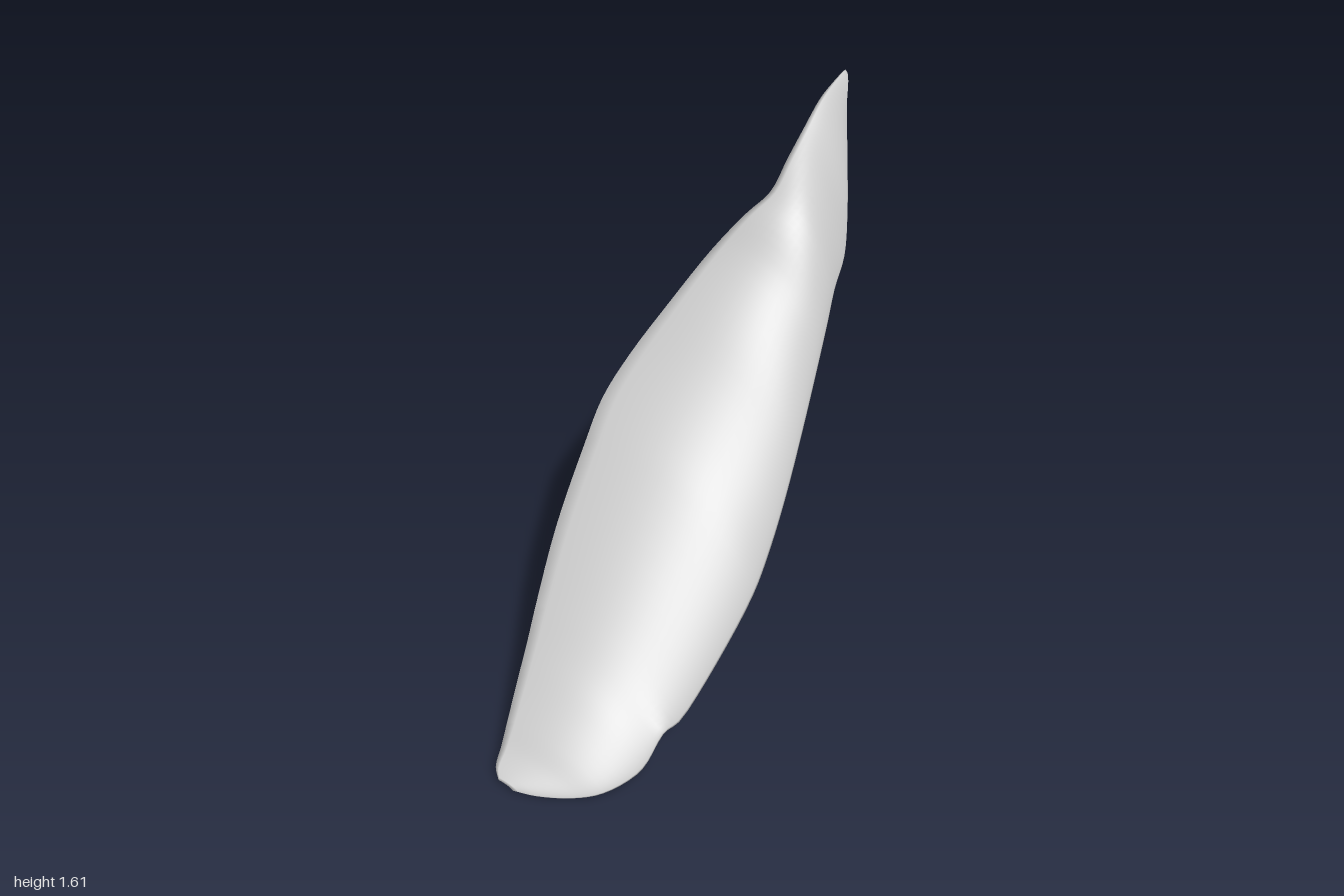
import * as THREE from 'three';

const { lerp, smoothstep } = THREE.MathUtils;

// Edge stations from base to tip: z, left x, right x, left y, right y
const STATIONS = [
  [1.0, -0.075, -0.02, 0.04, 0.026],
  [0.975, -0.105, 0.05, 0.058, 0.022],
  [0.92, -0.125, 0.15, 0.09, 0.024],
  [0.86, -0.145, 0.22, 0.14, 0.034],
  [0.76, -0.18, 0.275, 0.215, 0.06],
  [0.67, -0.21, 0.292, 0.285, 0.1],
  [0.58, -0.24, 0.308, 0.365, 0.145],
  [0.4, -0.29, 0.326, 0.535, 0.265],
  [0.2, -0.32, 0.332, 0.725, 0.41],
  [0.08, -0.332, 0.316, 0.835, 0.505],
  [-0.04, -0.308, 0.295, 0.945, 0.625],
  [-0.18, -0.255, 0.265, 1.08, 0.785],
  [-0.34, -0.19, 0.222, 1.23, 0.945],
  [-0.43, -0.12, 0.198, 1.34, 1.045],
  [-0.5, -0.075, 0.178, 1.4, 1.125],
  [-0.6, -0.075, 0.152, 1.475, 1.19],
  [-0.7, -0.08, 0.1, 1.535, 1.285],
  [-0.82, -0.09, 0.022, 1.595, 1.425],
  [-0.92, -0.095, -0.045, 1.62, 1.54],
  [-0.975, -0.098, -0.075, 1.628, 1.6],
  [-0.995, -0.1, -0.09, 1.628, 1.618],
];
const THICKNESS = 0.028;
const ACROSS = 20;
const ALONG = 80;

const edge = (xi, yi) => new THREE.CatmullRomCurve3(
  STATIONS.map((s) => new THREE.Vector3(s[xi], s[yi], s[0])), false, 'centripetal');
const leftEdge = edge(1, 3);
const rightEdge = edge(2, 4);

// Outer surface: crowned on the left, rolling steeply down to the right edge
function surface(t, v) {
  const a = leftEdge.getPoint(v);
  const b = rightEdge.getPoint(v);
  const p = a.clone().lerp(b, t);
  // the narrow tip is flatter than the body
  const tip = smoothstep(-p.z, 0.35, 0.75);
  const roll = Math.pow(1 - Math.pow(t, lerp(2.5, 1.4, tip)), lerp(0.72, 0.92, tip));
  p.y = b.y + (a.y - b.y) * roll;
  p.y += 0.026 * Math.sin(Math.PI * t) * (1 - tip) * smoothstep(-p.z, -1, -0.7);
  // small nick in the right edge near the base
  p.y += 0.04 * Math.pow(t, 12) * Math.exp(-(((p.z - 0.645) / 0.05) ** 2));
  return p;
}

function surfaceNormal(t, v) {
  const e = 0.012;
  const du = surface(Math.min(1, t + e), v).sub(surface(Math.max(0, t - e), v));
  const dv = surface(t, Math.min(1, v + e)).sub(surface(t, Math.max(0, v - e)));
  return du.cross(dv).normalize();
}

// Closed thin shell made of looped cross-sections
function shellGeometry() {
  const positions = [];
  const index = [];
  const ring = 2 * (ACROSS + 1);
  for (let k = 0; k <= ALONG; k++) {
    const v = k / ALONG;
    const under = [];
    for (let i = 0; i <= ACROSS; i++) {
      const t = Math.sin((i / ACROSS) * Math.PI / 2);
      const p = surface(t, v);
      positions.push(p.x, p.y, p.z);
      under.unshift(p.addScaledVector(surfaceNormal(t, v), -THICKNESS));
    }
    under.forEach((p) => positions.push(p.x, p.y, p.z));
  }
  for (let k = 0; k < ALONG; k++) {
    for (let j = 0; j < ring; j++) {
      const a = k * ring + j;
      const b = k * ring + ((j + 1) % ring);
      index.push(a, b, b + ring, a, b + ring, a + ring);
    }
  }
  // base and tip rims
  const last = ALONG * ring;
  for (let i = 0; i < ACROSS; i++) {
    const j = ring - 1 - i;
    index.push(i, j, j - 1, i, j - 1, i + 1);
    index.push(last + i, last + j - 1, last + j, last + i, last + i + 1, last + j - 1);
  }
  const g = new THREE.BufferGeometry();
  g.setAttribute('position', new THREE.Float32BufferAttribute(positions, 3));
  g.setIndex(index);
  g.computeBoundingBox();
  g.translate(0, -g.boundingBox.min.y, 0);
  g.computeVertexNormals();
  return g;
}

export function createModel() {
  const paleGrey = new THREE.MeshStandardMaterial({ color: 0xcccccc });
  paleGrey.name = 'paleGrey';
  const shell = new THREE.Mesh(shellGeometry(), paleGrey);
  shell.name = 'curvedShell';
  const group = new THREE.Group();
  group.name = 'curvedBlade';
  group.add(shell);
  return group;
}
